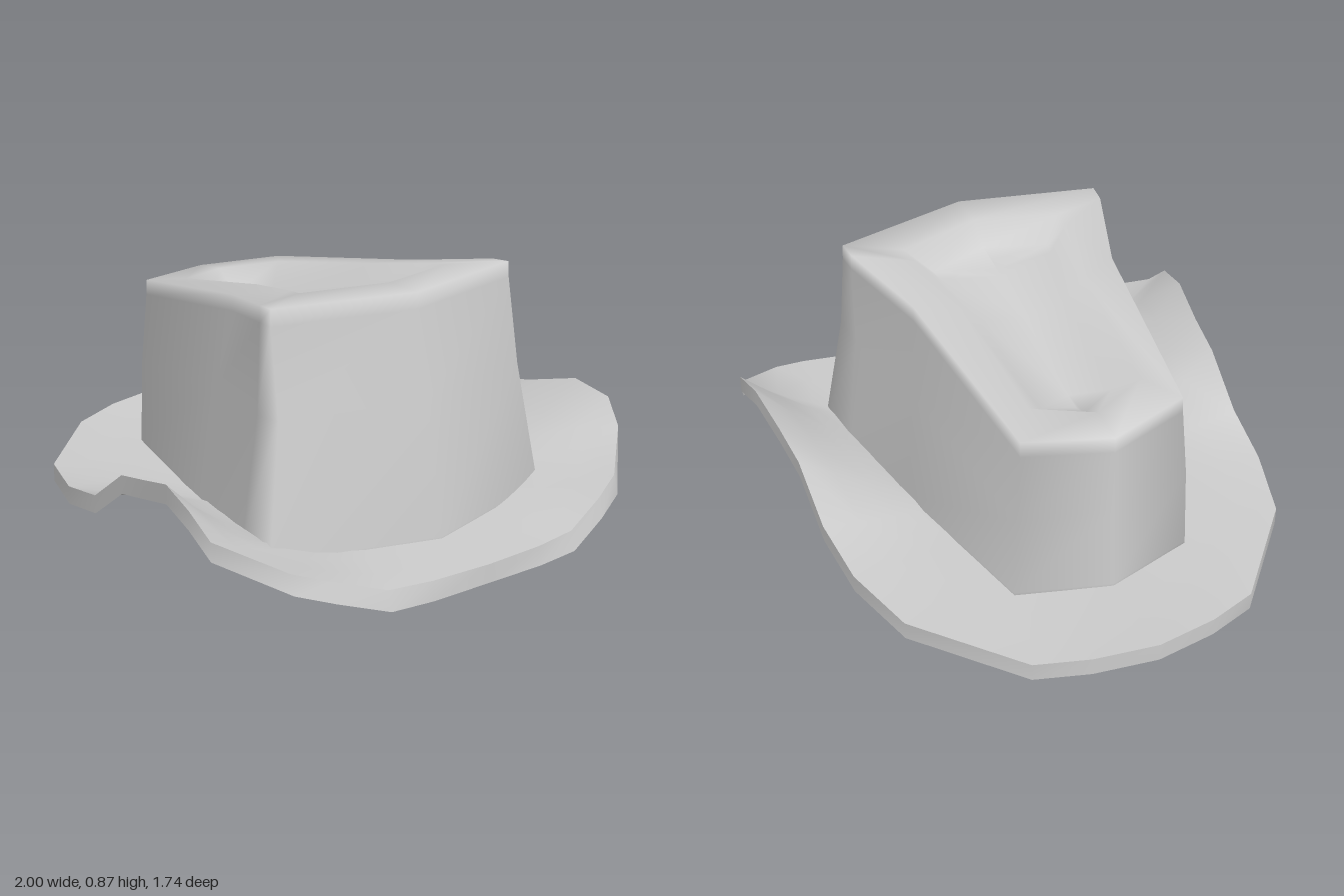
import * as THREE from 'three';
import { toCreasedNormals } from 'three/addons/utils/BufferGeometryUtils.js';

// Mirror a half outline (narrow end to wide end, z >= 0) into a closed loop
const mirrorLoop = half => [
  ...half,
  ...half.slice(1, -1).reverse().map(([x, y, z]) => [x, y, -z]),
];

// Skin a sequence of half outlines, mirrored across z = 0
function loft(halves) {
  const rings = halves.map(mirrorLoop);
  const n = rings[0].length;
  const index = [];
  for (let r = 0; r < rings.length - 1; r++) {
    for (let i = 0; i < n; i++) {
      const j = (i + 1) % n;
      const a = r * n + i, b = r * n + j, c = b + n, d = a + n;
      index.push(a, b, c, a, c, d);
    }
  }
  const geo = new THREE.BufferGeometry();
  geo.setAttribute('position', new THREE.Float32BufferAttribute(rings.flat(2), 3));
  geo.setIndex(index);
  geo.computeVertexNormals();
  return geo;
}

// Crown: tapered six-sided wall, broad flat rim and a shallow hollow on top
function crownGeometry() {
  const base = [[-0.67, 0], [-0.575, 0.32], [0.04, 0.455], [0.42, 0.54], [0.61, 0.565], [0.77, 0]];
  const middle = [[-0.65, 0], [-0.57, 0.31], [0.08, 0.41], [0.43, 0.485], [0.56, 0.495], [0.685, 0]];
  const top = [[-0.65, 0], [-0.56, 0.29], [0.13, 0.375], [0.44, 0.48], [0.51, 0.487], [0.625, 0]];
  const crest = [[-0.52, 0], [-0.43, 0.2], [0.06, 0.23], [0.33, 0.285], [0.4, 0.3], [0.48, 0]];
  const hollow = [[-0.42, 0], [-0.36, 0.13], [0.06, 0.16], [0.29, 0.21], [0.33, 0.22], [0.4, 0]];
  const rimY = [0.68, 0.69, 0.81, 0.865, 0.87, 0.87];
  const midY = [0.38, 0.38, 0.48, 0.5, 0.52, 0.52];
  const crestY = [0.69, 0.705, 0.8, 0.85, 0.86, 0.865];
  const at = (pts, y, scale = 1) => pts.map(([x, z], i) => [x * scale, y(i), z * scale]);
  const spine = (pts, y) => pts.map(([x], i) => [x * 0.85, y(i), 0]);
  return loft([
    spine(base, () => 0.01),
    at(base, () => 0.01, 0.93),
    at(base, () => 0.01),
    at(base, () => 0.08),
    at(middle, i => midY[i]),
    at(top, i => rimY[i] - 0.06),
    at(top, i => rimY[i] - 0.005, 0.995),
    at(crest, i => crestY[i]),
    at(hollow, i => crestY[i] - 0.07),
    spine(hollow, i => crestY[i] - 0.09),
  ]);
}

// Brim: thin sheet around the crown, its wavy outer edge folded down in a band
function brimGeometry() {
  // outer x, z, y, then inner x, z, y
  const rows = [
    [-1, 0, 0.09, -0.66, 0, 0.07],
    [-0.96, 0.22, 0.08, -0.64, 0.1, 0.07],
    [-0.89, 0.4, 0.065, -0.58, 0.28, 0.07],
    [-0.55, 0.7, 0.07, -0.45, 0.33, 0.07],
    [-0.29, 0.78, 0.09, -0.25, 0.37, 0.07],
    [-0.06, 0.805, 0.14, -0.05, 0.41, 0.07],
    [0.14, 0.815, 0.28, 0.1, 0.44, 0.075],
    [0.3, 0.83, 0.32, 0.25, 0.47, 0.085],
    [0.48, 0.855, 0.37, 0.4, 0.51, 0.1],
    [0.63, 0.87, 0.34, 0.56, 0.53, 0.11],
    [0.71, 0.845, 0.26, 0.6, 0.5, 0.105],
    [0.87, 0.67, 0.17, 0.63, 0.4, 0.085],
    [0.92, 0.55, 0.13, 0.66, 0.33, 0.075],
    [0.97, 0.38, 0.075, 0.68, 0.25, 0.075],
    [0.99, 0.22, 0.07, 0.72, 0.1, 0.075],
    [1, 0, 0.07, 0.75, 0, 0.075],
  ];
  // t runs from the outer edge (1) to the crown (0)
  const ring = t => rows.map(([xo, zo, yo, xi, zi, yi]) => [
    THREE.MathUtils.lerp(xi * 0.97, xo, t),
    THREE.MathUtils.lerp(yi, yo, t * (0.6 + 0.4 * t)),
    THREE.MathUtils.lerp(zi * 0.97, zo, t),
  ]);
  const hem = ring(1).map(([x, y, z]) => [
    x > 0.8 ? Math.min(1, x + 0.02) : x, Math.max(0, y - 0.065), z,
  ]);
  return toCreasedNormals(loft([hem, ring(1), ring(0.67), ring(0.33), ring(0)]), 0.8);
}

export function createModel() {
  const hat = new THREE.Group();
  hat.name = 'hat';
  const material = new THREE.MeshStandardMaterial({ color: 0xcccccc, side: THREE.DoubleSide });
  for (const [name, geometry] of [['crown', crownGeometry()], ['brim', brimGeometry()]]) {
    const mesh = new THREE.Mesh(geometry, material);
    mesh.name = name;
    hat.add(mesh);
  }
  return hat;
}
